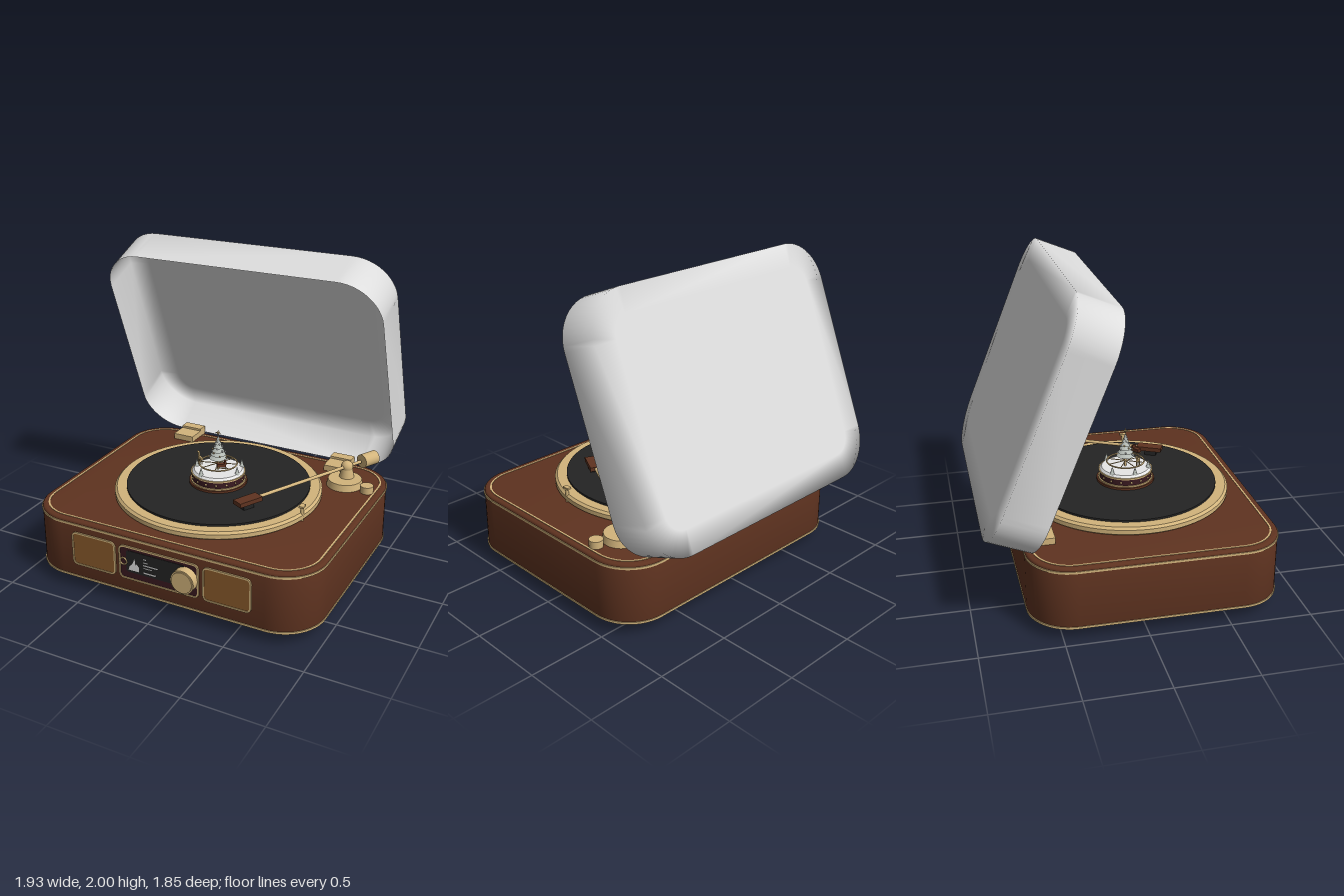
import * as THREE from 'three';
import { toCreasedNormals } from 'three/addons/utils/BufferGeometryUtils.js';

const mat = (name, color, extra = {}) => Object.assign(new THREE.MeshStandardMaterial({ color, ...extra }), { name });
const M = {
  wood: mat('walnut', 0x5f3320), gold: mat('brass', 0xd2b47c), black: mat('black vinyl', 0x242424),
  cloth: mat('speaker cloth', 0x8a5c2c), maroon: mat('maroon', 0x3a1a20),
  lid: mat('lid white', 0xdedede, { side: THREE.DoubleSide }), snow: mat('snow', 0xeeeeee),
  frost: mat('frosted green', 0xb4bab4),
};

function add(parent, name, geo, material, x = 0, y = 0, z = 0) {
  const m = new THREE.Mesh(geo, material);
  m.name = name;
  m.position.set(x, y, z);
  parent.add(m);
  return m;
}
const cyl = (r, h, r2 = r, n = 40) => new THREE.CylinderGeometry(r2, r, h, n);
const box = (w, h, d) => new THREE.BoxGeometry(w, h, d);

// Rounded rectangle outline, counter-clockwise, centred on the origin
function outline(w, h, r, n = 12) {
  const pts = [];
  [[1, 1], [-1, 1], [-1, -1], [1, -1]].forEach(([sx, sy], c) => {
    for (let i = 0; i <= n; i++) {
      const a = (c + i / n) * Math.PI / 2;
      pts.push(new THREE.Vector2(sx * (w / 2 - r) + Math.cos(a) * r, sy * (h / 2 - r) + Math.sin(a) * r));
    }
  });
  return pts;
}

// Extruded rounded rectangle along +z; t > 0 makes it a frame of that width
function plate(w, h, r, depth, t = 0, bevel = 0) {
  const s = new THREE.Shape(outline(w - 2 * bevel, h - 2 * bevel, r - bevel));
  if (t) s.holes.push(new THREE.Path(outline(w - 2 * t, h - 2 * t, Math.max(r - t, 0.004)).reverse()));
  const g = new THREE.ExtrudeGeometry(s, {
    depth: depth - 2 * bevel, bevelEnabled: bevel > 0, bevelSize: bevel, bevelThickness: bevel, bevelSegments: 3,
  });
  return toCreasedNormals(g.translate(0, 0, bevel), 0.6);
}
const slab = (...a) => plate(...a).rotateX(-Math.PI / 2);

// Open tray: side wall, softened back edge and flat back with smooth normals
function lidGeometry(w, h, r, depth) {
  const pos = [], idx = [];
  const rings = [[0, 0], [0, -depth], [0.15, -depth]];
  let n = 0;
  for (const [inset, z] of rings) {
    const pts = outline(w - 2 * inset, h - 2 * inset, r - inset);
    n = pts.length;
    pts.forEach(p => pos.push(p.x, p.y + h / 2, z));
  }
  pos.push(0, h / 2, -depth);
  for (let i = 0; i < n; i++) {
    const j = (i + 1) % n;
    for (let k = 0; k < 2; k++) {
      const a = k * n + i, b = k * n + j;
      idx.push(a, a + n, b, b, a + n, b + n);
    }
    idx.push(2 * n + i, 3 * n, 2 * n + j);
  }
  const g = new THREE.BufferGeometry();
  g.setAttribute('position', new THREE.Float32BufferAttribute(pos, 3));
  g.setIndex(idx);
  g.computeVertexNormals();
  return g;
}

function buildCabinet(root) {
  const g = new THREE.Group(); g.name = 'cabinet'; root.add(g);
  const W = 1.92, D = 1.54, R = 0.27, cz = 0.09;
  add(g, 'body', slab(W, D, R, 0.403, 0, 0.015), M.wood, 0, 0.075, cz);
  for (const y of [0.083, 0.447]) add(g, 'trimBand', slab(W + 0.008, D + 0.008, R, 0.014, 0.02), M.gold, 0, y, cz);
  add(g, 'topInlay', slab(W - 0.07, D - 0.08, R - 0.04, 0.004, 0.011), M.gold, 0, 0.477, cz);
  add(g, 'bottomPlate', slab(1.68, 1.3, 0.16, 0.022), M.gold, 0, 0.055, cz);
  for (const x of [-0.71, 0.71]) for (const z of [-0.44, 0.62]) {
    add(g, 'foot', cyl(0.12, 0.06), M.gold, x, 0.035, z);
    add(g, 'footRim', cyl(0.112, 0.066), M.gold, x, 0.035, z);
  }
  for (const x of [-0.58, 0.58]) {
    add(g, 'hingeLeaf', box(0.15, 0.04, 0.12), M.gold, x, 0.5, -0.55);
    add(g, 'hingeBarrel', box(0.15, 0.06, 0.07), M.gold, x, 0.505, -0.645);
  }
}

function buildFront(root) {
  const g = new THREE.Group(); g.name = 'frontPanel'; g.position.set(0, 0.292, 0.86); root.add(g);
  for (const x of [-0.455, 0.455]) {
    add(g, 'speakerCloth', plate(0.3, 0.215, 0.03, 0.005), M.cloth, x);
    add(g, 'speakerFrame', plate(0.314, 0.228, 0.035, 0.009, 0.011), M.gold, x);
  }
  add(g, 'displayPanel', plate(0.53, 0.215, 0.03, 0.004), M.maroon);
  add(g, 'displayFrame', plate(0.547, 0.228, 0.035, 0.009, 0.011), M.gold);
  add(g, 'screen', plate(0.4, 0.145, 0.012, 0.004), M.black, -0.02, 0.012, 0.003);
  // Picture and status bars on the screen
  const hills = new THREE.Shape([[0, 0], [0.075, 0], [0.075, 0.03], [0.06, 0.05], [0.05, 0.04], [0.045, 0.085],
    [0.03, 0.05], [0.02, 0.035], [0.01, 0.03]].map(p => new THREE.Vector2(...p)));
  add(g, 'screenHills', new THREE.ShapeGeometry(hills), M.snow, -0.205, -0.045, 0.0085);
  [[0.02, 0.052, 0.006], [0.03, 0.03, 0.005], [0.1, 0.011, 0.007], [0.06, -0.008, 0.005], [0.085, -0.04, 0.008]]
    .forEach(([w, y, h]) => add(g, 'screenBar', box(w, h, 0.002), M.snow, -0.1 + w / 2, y, 0.008));
  add(g, 'smallRing', new THREE.TorusGeometry(0.023, 0.005, 8, 24), M.gold, -0.24, 0.005, 0.008);
  // Large knob with stepped face
  add(g, 'knob', cyl(0.077, 0.055).rotateX(Math.PI / 2), M.gold, 0.19, 0.003, 0.03);
  add(g, 'knobFace', cyl(0.068, 0.06).rotateX(Math.PI / 2), M.gold, 0.19, 0.003, 0.034);
}

function buildDeck(root) {
  const g = new THREE.Group(); g.name = 'deck'; root.add(g);
  const profile = [[0, 0.475], [0.65, 0.475], [0.67, 0.49], [0.67, 0.518], [0.655, 0.532], [0, 0.532]];
  add(g, 'platter', toCreasedNormals(new THREE.LatheGeometry(profile.map(p => new THREE.Vector2(...p)), 80), 0.5), M.gold, 0, 0, 0.08);
  add(g, 'record', cyl(0.593, 0.014, 0.593, 80), M.black, 0, 0.538, 0.08);

  // Tonearm stand, side knob and arm rest
  add(g, 'armBase', cyl(0.12, 0.045, 0.11), M.gold, 0.705, 0.5, -0.36);
  add(g, 'armColumn', cyl(0.05, 0.08, 0.035), M.gold, 0.705, 0.555, -0.39);
  add(g, 'armPivot', new THREE.SphereGeometry(0.04, 24, 16), M.gold, 0.705, 0.595, -0.39);
  add(g, 'sideKnob', cyl(0.043, 0.05), M.gold, 0.87, 0.5, -0.32);
  add(g, 'armRestPost', cyl(0.011, 0.1, 0.011, 12), M.gold, 0.645, 0.525, 0.22);
  add(g, 'armRestCradle', box(0.03, 0.012, 0.045), M.gold, 0.645, 0.575, 0.22);

  // Arm points along its local +z
  const arm = new THREE.Group(); arm.name = 'tonearm';
  arm.position.set(0.705, 0.595, -0.39); arm.rotation.y = Math.atan2(-0.375, 0.73); g.add(arm);
  add(arm, 'armTube', cyl(0.011, 0.88, 0.011, 16).rotateX(Math.PI / 2), M.gold, 0, 0, 0.32);
  add(arm, 'counterweight', cyl(0.046, 0.12, 0.046, 28).rotateX(Math.PI / 2), M.gold, 0, 0, -0.19);
  const head = new THREE.Group(); head.name = 'head'; head.position.z = 0.815; arm.add(head);
  add(head, 'headshell', box(0.075, 0.028, 0.17), M.wood);
  add(head, 'cartridge', box(0.05, 0.032, 0.075), M.black, 0, -0.03, 0.01);
}

function frostTree(parent, name, x, y, z, r, h, tiers) {
  const t = new THREE.Group(); t.name = name; t.position.set(x, y, z); parent.add(t);
  for (let i = 0; i < tiers; i++) {
    const k = 1 - i / (tiers + 0.4);
    add(t, 'branches', new THREE.ConeGeometry(r * k, h / tiers * 1.5, 10), M.frost, 0, h * (i + 0.6) / tiers, 0);
  }
  return t;
}

function buildOrnament(root) {
  const g = new THREE.Group(); g.name = 'winterCarousel'; g.position.set(0, 0.545, 0.085); root.add(g);
  add(g, 'baseRim', cyl(0.188, 0.014), M.wood, 0, 0.007, 0);
  add(g, 'lowerBand', cyl(0.178, 0.012), M.gold, 0, 0.018, 0);
  add(g, 'drum', cyl(0.17, 0.05), M.maroon, 0, 0.045, 0);
  add(g, 'upperBand', cyl(0.176, 0.01), M.gold, 0, 0.07, 0);
  add(g, 'snowTop', cyl(0.17, 0.016, 0.155), M.snow, 0, 0.081, 0);
  for (let i = 0; i < 16; i++) {
    const a = i / 16 * Math.PI * 2;
    add(g, 'stud', new THREE.SphereGeometry(0.007, 8, 6), M.gold, Math.sin(a) * 0.171, 0.043, Math.cos(a) * 0.171);
  }
  // Small trees standing on the snow
  for (const [x, z] of [[-0.1, -0.11], [0.12, -0.1], [0.145, 0.02], [-0.14, 0.03], [-0.05, 0.14]])
    frostTree(g, 'smallTree', x, 0.086, z, 0.018, 0.045, 2);

  // Turning ring with spokes
  add(g, 'pole', cyl(0.008, 0.12, 0.008, 10), M.gold, 0, 0.14, 0);
  add(g, 'ring', new THREE.TorusGeometry(0.122, 0.005, 8, 48).rotateX(Math.PI / 2), M.gold, 0, 0.125, 0);
  for (let i = 0; i < 4; i++)
    add(g, 'spoke', cyl(0.003, 0.24, 0.003, 6).rotateZ(Math.PI / 2), M.gold, 0, 0.125, 0).rotation.y = i * Math.PI / 4 + 0.3;

  // Tiered tree with baubles and star
  frostTree(g, 'tallTree', 0, 0.165, 0, 0.06, 0.145, 6);
  for (let i = 0; i < 24; i++) {
    const k = i / 24, r = 0.058 * (1 - k), a = i * 2.4;
    add(g, 'bauble', new THREE.SphereGeometry(0.006, 8, 6), i % 3 ? M.snow : M.gold, Math.cos(a) * r, 0.175 + k * 0.13, Math.sin(a) * r);
  }
  for (let i = 0; i < 2; i++) {
    add(g, 'star', new THREE.OctahedronGeometry(0.022).scale(i ? 1 : 0.3, i ? 0.3 : 1, 0.3), M.gold, 0, 0.335, 0);
    add(g, 'starSide', new THREE.OctahedronGeometry(0.022).scale(0.3, 0.3, 1), M.gold, 0, 0.335, 0);
  }
  // Sleigh and horse riding on the ring
  const sleigh = new THREE.Group(); sleigh.name = 'sleigh'; sleigh.position.set(0.068, 0.155, 0.09); sleigh.rotation.y = 0.6; g.add(sleigh);
  add(sleigh, 'seatBox', box(0.055, 0.022, 0.03), M.wood, 0, 0.008, 0);
  add(sleigh, 'backRest', box(0.012, 0.025, 0.03), M.wood, 0.024, 0.024, 0);
  for (const z of [-0.013, 0.013]) add(sleigh, 'runner', box(0.065, 0.004, 0.004), M.gold, 0, -0.012, z);
  const horse = new THREE.Group(); horse.name = 'horse'; horse.position.set(-0.098, 0.165, 0.06); horse.rotation.y = -0.6; g.add(horse);
  add(horse, 'horseBody', box(0.04, 0.016, 0.014), M.gold);
  add(horse, 'horseNeck', box(0.01, 0.032, 0.01), M.gold, -0.02, 0.017, 0);
  add(horse, 'horseHead', box(0.02, 0.009, 0.01), M.gold, -0.026, 0.031, 0);
  for (const x of [-0.016, 0.016]) for (const z of [-0.005, 0.005]) add(horse, 'horseLeg', box(0.005, 0.035, 0.004), M.gold, x, -0.022, z);
}

export function createModel() {
  const root = new THREE.Group();
  root.name = 'recordPlayer';
  buildCabinet(root);
  buildFront(root);
  buildDeck(root);
  buildOrnament(root);
  // Open lid leaning forward over the back edge
  const lid = add(root, 'lid', lidGeometry(1.9, 1.517, 0.27, 0.274), M.lid, 0, 0.493, -0.667);
  lid.rotation.x = 0.383;
  return root;
}
